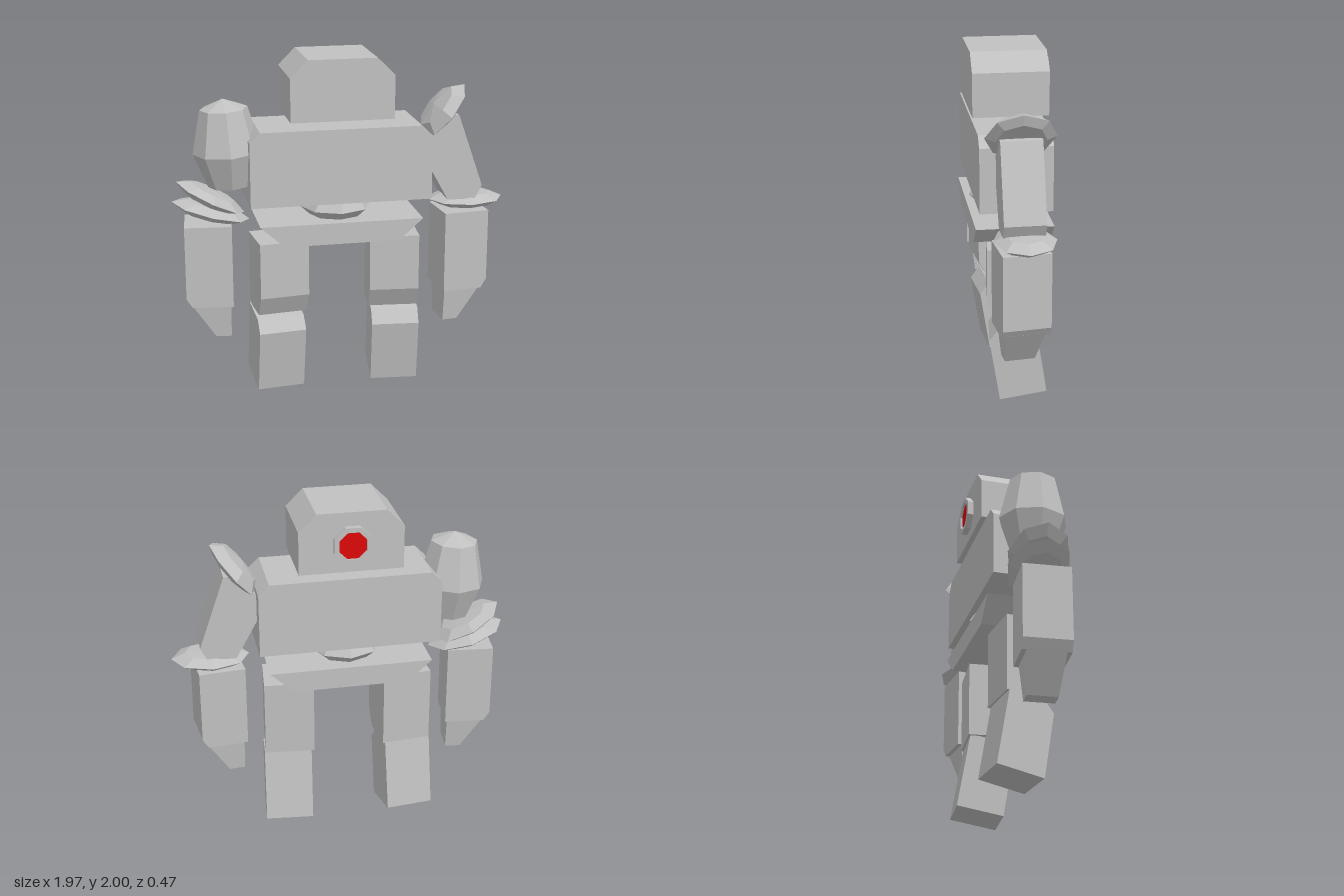
import * as THREE from 'three';

const MID = -0.035; // x of the body's mirror plane
const ZC = 0.02;    // z of the body's centre

export function createModel() {
  const metal = new THREE.MeshStandardMaterial({ color: 0xc0c0c0 });
  metal.name = 'grey metal';
  const red = new THREE.MeshStandardMaterial({ color: 0xdc0808 });
  red.name = 'red lens';

  const model = new THREE.Group();
  model.name = 'robot';

  const add = (parent, name, geometry, material = metal) => {
    const flat = geometry.index ? geometry.toNonIndexed() : geometry;
    flat.computeVertexNormals();
    const mesh = new THREE.Mesh(flat, material);
    mesh.name = name;
    parent.add(mesh);
    return mesh;
  };

  // Extrude an outline along z, from z0 to z1
  const prism = (points, z0, z1, hole) => {
    const shape = new THREE.Shape(points.map(p => new THREE.Vector2(...p)));
    if (hole) shape.holes.push(new THREE.Path(hole.map(p => new THREE.Vector2(...p))));
    return new THREE.ExtrudeGeometry(shape, { depth: z1 - z0, bevelEnabled: false }).translate(0, 0, z0);
  };
  // Extrude a side outline of (z, y) points across a width in x, centred
  const sidePrism = (points, width) => prism(points, -width / 2, width / 2).rotateY(-Math.PI / 2);
  // Eight-sided turned shape, profile listed from bottom to top
  const turned = profile => new THREE.LatheGeometry(profile.map(p => new THREE.Vector2(...p)), 8);
  const octagon = apothem => Array.from({ length: 8 }, (_, i) => {
    const a = (i + 0.5) * Math.PI / 4, r = apothem / Math.cos(Math.PI / 8);
    return [r * Math.cos(a), r * Math.sin(a)];
  });

  // Head, torso, waist and pelvis
  add(model, 'head', prism([[-0.33, 1.65], [0.265, 1.65], [0.265, 1.9], [0.165, 2], [-0.23, 2], [-0.33, 1.9]], -0.2, 0.23));
  add(model, 'torso', prism([[-0.56, 1.165], [0.492, 1.165], [0.492, 1.54], [0.43, 1.6], [-0.5, 1.6], [-0.56, 1.54]], -0.19, 0.22));
  add(model, 'waist', turned([[0, 1.055], [0.155, 1.055], [0.208, 1.105], [0.17, 1.165], [0, 1.165]])).position.set(MID, 0, 0.015);
  add(model, 'pelvis', prism([[-0.37, 0.93], [0.3, 0.93], [0.44, 1.055], [-0.51, 1.055]], -0.208, 0.235));

  // Eye on the back of the head
  const eye = new THREE.Group();
  eye.name = 'eye';
  eye.position.set(MID, 1.815, 0);
  model.add(eye);
  add(eye, 'eyeRing', prism(octagon(0.105), -0.235, -0.19, octagon(0.078)));
  add(eye, 'eyeLens', prism(octagon(0.078), -0.222, -0.214), red);

  // Legs, forearms and hands, mirrored
  for (const side of [1, -1]) {
    const limbs = new THREE.Group();
    limbs.name = side > 0 ? 'leftLimbs' : 'rightLimbs';
    limbs.position.set(MID, 0, ZC);
    limbs.scale.x = side;
    model.add(limbs);

    const thigh = add(limbs, 'thigh', sidePrism([[-0.14, 0.48], [0.08, 0.48], [0.14, 0.6], [0.14, 0.93], [-0.14, 0.93]], 0.29));
    thigh.position.x = 0.34;
    thigh.rotation.y = -0.1;

    const shin = add(limbs, 'shin', sidePrism([[-0.2, 0.05], [0.07, 0], [0.13, 0.375], [0.075, 0.45], [-0.125, 0.49]], 0.28));
    shin.position.x = 0.352;
    shin.rotation.y = -0.1;

    const arm = new THREE.Group();
    arm.name = 'forearmAndHand';
    arm.position.x = 0.75;
    arm.rotation.y = 0.1;
    limbs.add(arm);
    add(arm, 'forearm', prism([[-0.135, 0.565], [0.1, 0.565], [0.135, 0.62], [0.135, 1.05], [-0.135, 1.05]], -0.135, 0.135));

    // Hand: a block narrowed towards its lower end
    const hand = prism([[-0.12, 0.365], [-0.03, 0.365], [0.11, 0.58], [-0.12, 0.58]], -0.11, 0.11);
    const pos = hand.attributes.position;
    for (let i = 0; i < pos.count; i++) {
      if (pos.getY(i) < 0.4) pos.setZ(i, pos.getZ(i) * 0.78);
    }
    add(arm, 'hand', hand);
  }

  // Left upper arm with its tilted shoulder cap
  add(model, 'leftUpperArm', prism([[0.615, 1.125], [0.78, 1.125], [0.82, 1.205], [0.672, 1.63], [0.62, 1.635], [0.48, 1.49], [0.485, 1.36]], -0.1, 0.13));
  const cap = add(model, 'leftShoulderCap', turned([[0, -0.02], [0.14, -0.025], [0.197, 0], [0.14, 0.055], [0, 0.075]]));
  cap.position.set(0.608, 1.632, 0.01);
  cap.rotation.z = 0.89;

  // Right shoulder ball
  const ball = add(model, 'rightShoulderBall', turned([[0, -0.265], [0.125, -0.245], [0.197, -0.045], [0.137, 0.205], [0, 0.26]]));
  ball.position.set(-0.665, 1.5, 0.01);
  ball.rotation.z = 0.06;

  // Elbow plates: one on the left, a split pair on the right
  const plates = [
    ['leftElbowPlate', 0.755, 1.1, 0, 0.225],
    ['rightLowerElbowPlate', -0.765, 1.108, -0.28, 0.232],
    ['rightUpperElbowPlate', -0.765, 1.188, -0.48, 0.218],
  ];
  for (const [name, x, y, tilt, radius] of plates) {
    const plate = add(model, name, turned([[0, -0.035], [0.7, -0.035], [1, 0], [0.65, 0.035], [0, 0.042]]).scale(radius, 1, 0.175));
    plate.position.set(x, y, 0.008);
    plate.rotation.z = tilt;
  }

  return model;
}
